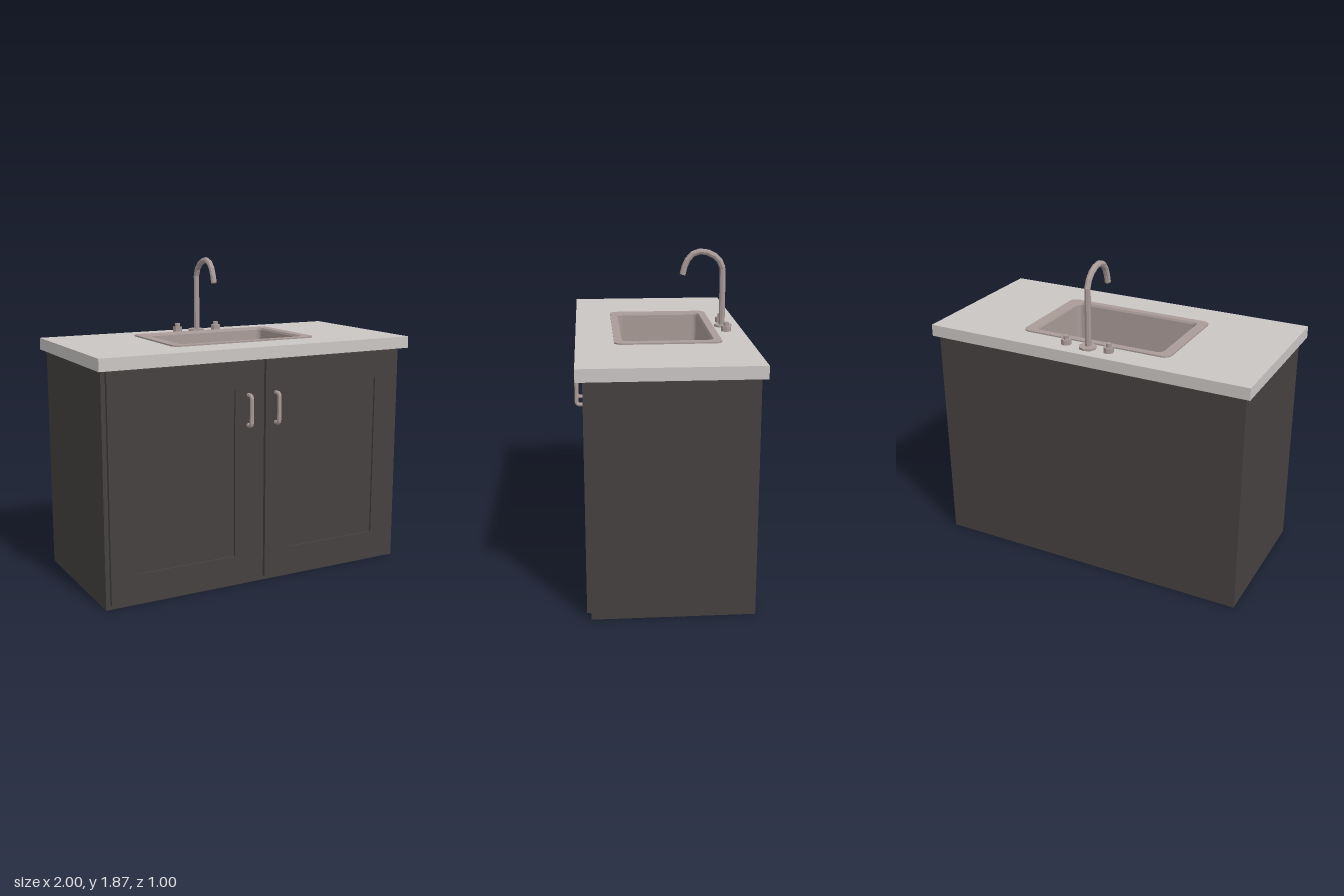
import * as THREE from 'three';

const stone = new THREE.MeshStandardMaterial({ name: 'paleStone', color: 0xcac6c4 });
const wood = new THREE.MeshStandardMaterial({ name: 'darkWood', color: 0x454140 });
const steel = new THREE.MeshStandardMaterial({ name: 'warmSteel', color: 0xa99b98, side: THREE.DoubleSide, flatShading: true });

const SINK_Z = -0.035;

// Counter-clockwise rounded rectangle given by half sizes and corner radius
function roundedPoints(hw, hh, r, cx = 0, cy = 0) {
  const pts = [];
  [[1, 1], [-1, 1], [-1, -1], [1, -1]].forEach(([sx, sy], k) => {
    for (let i = 0; i <= 4; i++) {
      const a = (k + i / 4) * Math.PI / 2;
      pts.push(new THREE.Vector2(cx + sx * (hw - r) + r * Math.cos(a), cy + sy * (hh - r) + r * Math.sin(a)));
    }
  });
  return pts;
}

function rectPoints(x0, x1, y0, y1) {
  return [[x0, y0], [x1, y0], [x1, y1], [x0, y1]].map(p => new THREE.Vector2(...p));
}

function ringShape(outer, inner) {
  const s = new THREE.Shape(outer);
  s.holes.push(new THREE.Path(inner));
  return s;
}

// Extrude a plan drawn in (x, -z) upward from y
function slab(shape, y, height) {
  return new THREE.ExtrudeGeometry(shape, { depth: height, bevelEnabled: false }).rotateX(-Math.PI / 2).translate(0, y, 0);
}

// Inner wall of the bowl, skinned through stacked loops
function bowlGeometry(loops) {
  const pos = [], idx = [];
  const n = 20;
  loops.forEach(([hw, hd, r, y]) =>
    roundedPoints(hw, hd, r, 0, -SINK_Z).forEach(p => pos.push(p.x, y, -p.y)));
  for (let l = 0; l < loops.length - 1; l++) {
    for (let i = 0; i < n; i++) {
      const a = l * n + i, b = l * n + (i + 1) % n;
      idx.push(a, b, a + n, b, b + n, a + n);
    }
  }
  const g = new THREE.BufferGeometry();
  g.setAttribute('position', new THREE.Float32BufferAttribute(pos, 3));
  g.setIndex(idx);
  g.computeVertexNormals();
  return g;
}

export function createModel() {
  const model = new THREE.Group();
  const add = (name, geometry, material, parent = model) => {
    const m = new THREE.Mesh(geometry, material);
    m.name = name;
    parent.add(m);
    return m;
  };
  const cylinder = (r, y0, y1, x, z, sides = 8) =>
    new THREE.CylinderGeometry(r, r, y1 - y0, sides).translate(x, (y0 + y1) / 2, z);

  // Cabinet carcass, open at the top for the bowl
  add('cabinetWalls', slab(ringShape(rectPoints(-0.97, 0.97, -0.425, 0.47), rectPoints(-0.94, 0.94, -0.395, 0.44)), 0, 1.335), wood);
  add('cabinetFloor', new THREE.BoxGeometry(1.88, 0.03, 0.835).translate(0, 0.015, -0.0225), wood);

  // Doors with recessed panels and bow handles
  for (const side of [-1, 1]) {
    const door = new THREE.Group();
    door.name = side > 0 ? 'leftDoor' : 'rightDoor';
    model.add(door);
    const span = (a, b) => side > 0 ? [a, b] : [-b, -a];
    const frame = ringShape(rectPoints(...span(0.022, 0.945), 0.027, 1.325), rectPoints(...span(0.178, 0.788), 0.185, 1.165));
    add('doorFrame', new THREE.ExtrudeGeometry(frame, { depth: 0.022, bevelEnabled: false }).translate(0, 0, 0.425), wood, door);
    add('doorPanel', new THREE.BoxGeometry(0.61, 0.98, 0.01).translate(side * 0.483, 0.675, 0.43), wood, door);

    const hx = side > 0 ? 0.087 : -0.094;
    const path = new THREE.CurvePath();
    const pts = [[0.957, 0.44], [0.957, 0.477], [0.967, 0.488], [1.122, 0.488], [1.132, 0.477], [1.132, 0.44]]
      .map(([y, z]) => new THREE.Vector3(hx, y, z));
    for (let i = 0; i < pts.length - 1; i++) path.add(new THREE.LineCurve3(pts[i], pts[i + 1]));
    add('doorHandle', new THREE.TubeGeometry(path, 40, 0.012, 8), steel, door);
  }

  // Worktop with the sink cut-out
  const opening = roundedPoints(0.408, 0.26, 0.035, 0, -SINK_Z);
  add('countertop', slab(ringShape(rectPoints(-1, 1, -0.485, 0.5), opening), 1.335, 0.07), stone);

  // Sink
  const sink = new THREE.Group();
  sink.name = 'sink';
  model.add(sink);
  add('sinkRim', slab(ringShape(roundedPoints(0.468, 0.303, 0.045, 0, -SINK_Z), opening), 1.404, 0.009), steel, sink);
  add('sinkBowl', bowlGeometry([
    [0.408, 0.26, 0.035, 1.413], [0.402, 0.254, 0.03, 1.4], [0.4, 0.25, 0.03, 1.06], [0.397, 0.24, 0.03, 1.035], [0.39, 0.23, 0.025, 1.025],
  ]), steel, sink);
  add('sinkFloor', new THREE.ShapeGeometry(new THREE.Shape(roundedPoints(0.39, 0.23, 0.025, 0, -SINK_Z)))
    .rotateX(-Math.PI / 2).translate(0, 1.025, 0), steel, sink);

  // Gooseneck tap
  const tap = new THREE.Group();
  tap.name = 'tap';
  model.add(tap);
  add('tapFlange', cylinder(0.052, 1.404, 1.418, 0, -0.4), steel, tap);
  add('tapStem', cylinder(0.018, 1.41, 1.755, 0, -0.393), steel, tap);
  const neck = new THREE.CatmullRomCurve3([
    [1.755, -0.393], [1.805, -0.37], [1.842, -0.32], [1.856, -0.26], [1.835, -0.205], [1.78, -0.17], [1.72, -0.154],
  ].map(([y, z]) => new THREE.Vector3(0, y, z)));
  add('tapNeck', new THREE.TubeGeometry(neck, 8, 0.018, 8), steel, tap);
  add('tapOutlet', new THREE.CircleGeometry(0.018, 8).rotateX(Math.PI / 2 - 0.25).translate(0, 1.721, -0.154), steel, tap);

  // Hot and cold valves
  for (const x of [-0.132, 0.138]) {
    add('valveBase', cylinder(0.03, 1.404, 1.436, x, -0.4), steel, tap);
    add('valveKnob', cylinder(0.016, 1.436, 1.458, x, -0.4), steel, tap);
  }
  return model;
}
